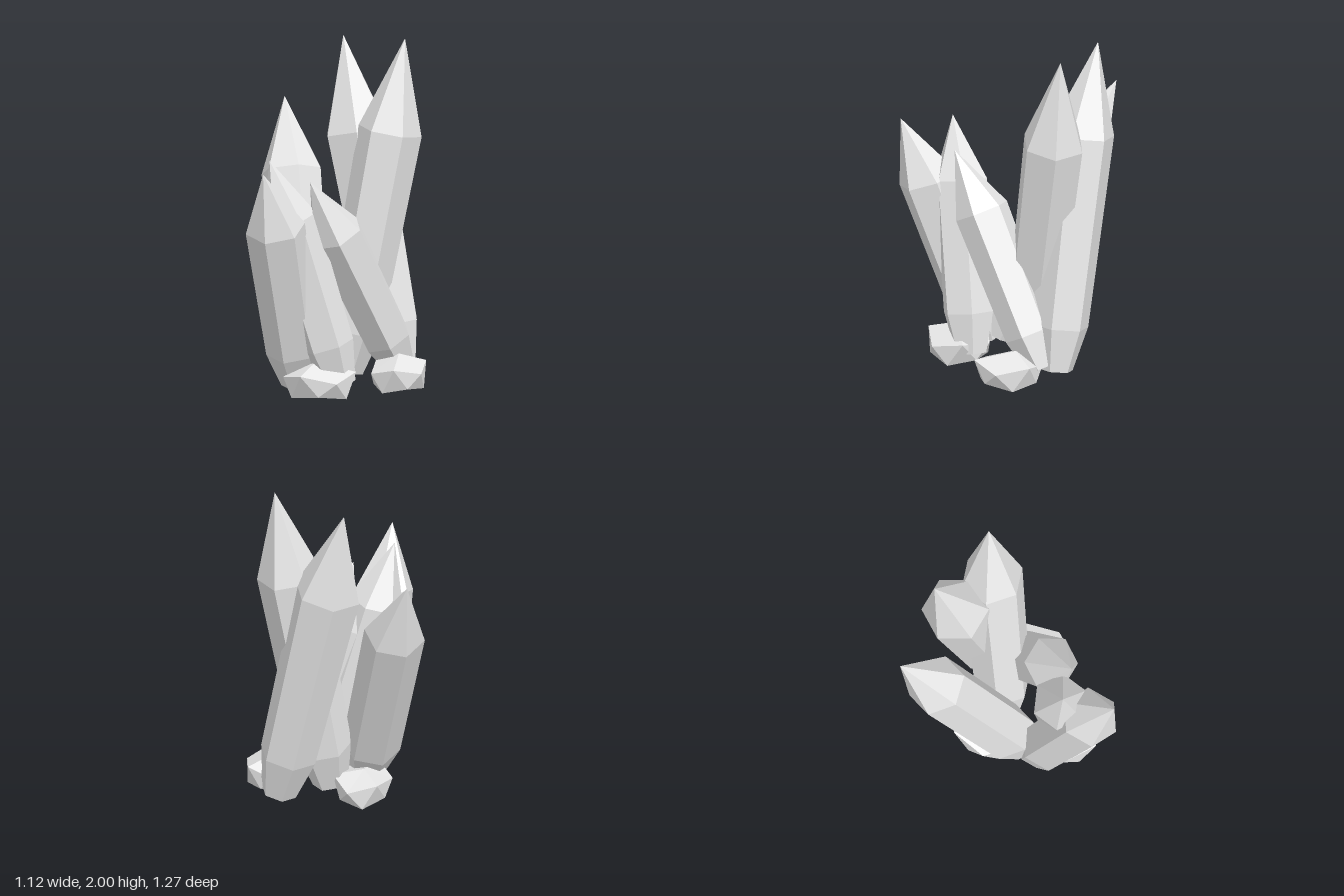
import * as THREE from 'three';

const stone = new THREE.MeshStandardMaterial({ color: 0xe6e6e6, flatShading: true });
stone.name = 'pale stone';

const SIDES = 6;
const DEG = Math.PI / 180;

// Skin a stack of six-sided rings, listed from bottom to top.
function loft(rings) {
  const pos = [];
  const tri = (a, b, c) => { for (const p of [a, b, c]) pos.push(p.x, p.y, p.z); };
  for (let k = 0; k < rings.length - 1; k++) {
    for (let i = 0; i < SIDES; i++) {
      const j = (i + 1) % SIDES;
      const [a, b] = [rings[k][i], rings[k][j]];
      const [c, d] = [rings[k + 1][i], rings[k + 1][j]];
      if (!c.equals(d)) tri(c, d, b);
      if (!a.equals(b)) tri(a, c, b);
    }
  }
  const geo = new THREE.BufferGeometry();
  geo.setAttribute('position', new THREE.Float32BufferAttribute(pos, 3));
  geo.computeVertexNormals();
  return geo;
}

// Ring square to an axis, with the angle running from x towards z.
function ring(center, axis, radius, phase) {
  const u = new THREE.Vector3(1, 0, 0).projectOnPlane(axis).normalize();
  const v = new THREE.Vector3().crossVectors(u, axis);
  return Array.from({ length: SIDES }, (_, i) => {
    const t = (phase + i * 360 / SIDES) * DEG;
    return center.clone()
      .addScaledVector(u, radius * Math.cos(t))
      .addScaledVector(v, radius * Math.sin(t));
  });
}

// Leaning crystal: narrow foot, slightly tapered shaft, pointed tip.
function crystal({ low, shoulder, tip, radius, lowRadius, footLength, phase }) {
  const a = new THREE.Vector3(...low);
  const b = new THREE.Vector3(...shoulder);
  const axis = b.clone().sub(a).normalize();
  const foot = a.clone().addScaledVector(axis, -footLength);
  return loft([
    ring(foot, axis, 0, phase),
    ring(foot, axis, lowRadius * 0.62, phase),
    ring(a, axis, lowRadius, phase),
    ring(b, axis, radius, phase),
    ring(new THREE.Vector3(...tip), axis, 0, phase),
  ]);
}

// Squat rock: flat bottom, twisted lower ring, uneven widest ring, off-centre peak.
function rock({ center: [x, z], size: [sx, sz], peak: [px, pz], height, phase }) {
  const up = new THREE.Vector3(0, 1, 0);
  const level = (y, r, wobble, turn) => ring(new THREE.Vector3(), up, r, phase + turn).map((p, i) =>
    new THREE.Vector3(x + p.x * sx, y + wobble * (i % 2 ? 1 : -1), z + p.z * sz));
  const top = new THREE.Vector3(px, height, pz);
  return loft([
    level(0, 0, 0, 0),
    level(0.018, 0.87, 0.012, -30),
    level(0.13, 1, 0.02, 0),
    Array.from({ length: SIDES }, () => top),
  ]);
}

const crystals = {
  tallLeftCrystal: { low: [0.08, 0.3, -0.185], shoulder: [0.25, 1.46, -0.335], tip: [0.32, 2, -0.39], radius: 0.185, lowRadius: 0.165, footLength: 0.24, phase: 44 },
  tallBackCrystal: { low: [0.245, 0.32, -0.372], shoulder: [-0.005, 1.42, -0.447], tip: [-0.12, 1.955, -0.525], radius: 0.197, lowRadius: 0.168, footLength: 0.26, phase: 7 },
  rightCrystal: { low: [-0.17, 0.27, -0.035], shoulder: [-0.385, 1.16, -0.38], tip: [-0.5, 1.555, -0.56], radius: 0.177, lowRadius: 0.168, footLength: 0.23, phase: 55 },
  frontCrystal: { low: [-0.133, 0.25, 0.2], shoulder: [-0.13, 1.02, 0.475], tip: [-0.14, 1.37, 0.635], radius: 0.174, lowRadius: 0.158, footLength: 0.22, phase: 29 },
  middleCrystal: { low: [0.08, 0.29, 0.195], shoulder: [-0.125, 1.03, 0.28], tip: [-0.22, 1.385, 0.345], radius: 0.163, lowRadius: 0.153, footLength: 0.24, phase: 40 },
  leaningCrystal: { low: [0.287, 0.27, -0.2], shoulder: [0.1, 0.935, 0.115], tip: [0.01, 1.265, 0.29], radius: 0.16, lowRadius: 0.145, footLength: 0.21, phase: 0 },
};

const rocks = {
  frontRock: { center: [0.055, 0.255], size: [0.213, 0.192], peak: [0.03, 0.26], height: 0.2, phase: 42 },
  leftRock: { center: [0.4, -0.1], size: [0.163, 0.2], peak: [0.385, -0.14], height: 0.2, phase: 13 },
  backRock: { center: [-0.15, -0.175], size: [0.17, 0.215], peak: [-0.16, -0.18], height: 0.18, phase: 45 },
};

export function createModel() {
  const group = new THREE.Group();
  group.name = 'crystalCluster';
  const add = (name, geo) => {
    const mesh = new THREE.Mesh(geo, stone);
    mesh.name = name;
    group.add(mesh);
  };
  for (const [name, spec] of Object.entries(crystals)) add(name, crystal(spec));
  for (const [name, spec] of Object.entries(rocks)) add(name, rock(spec));
  return group;
}
